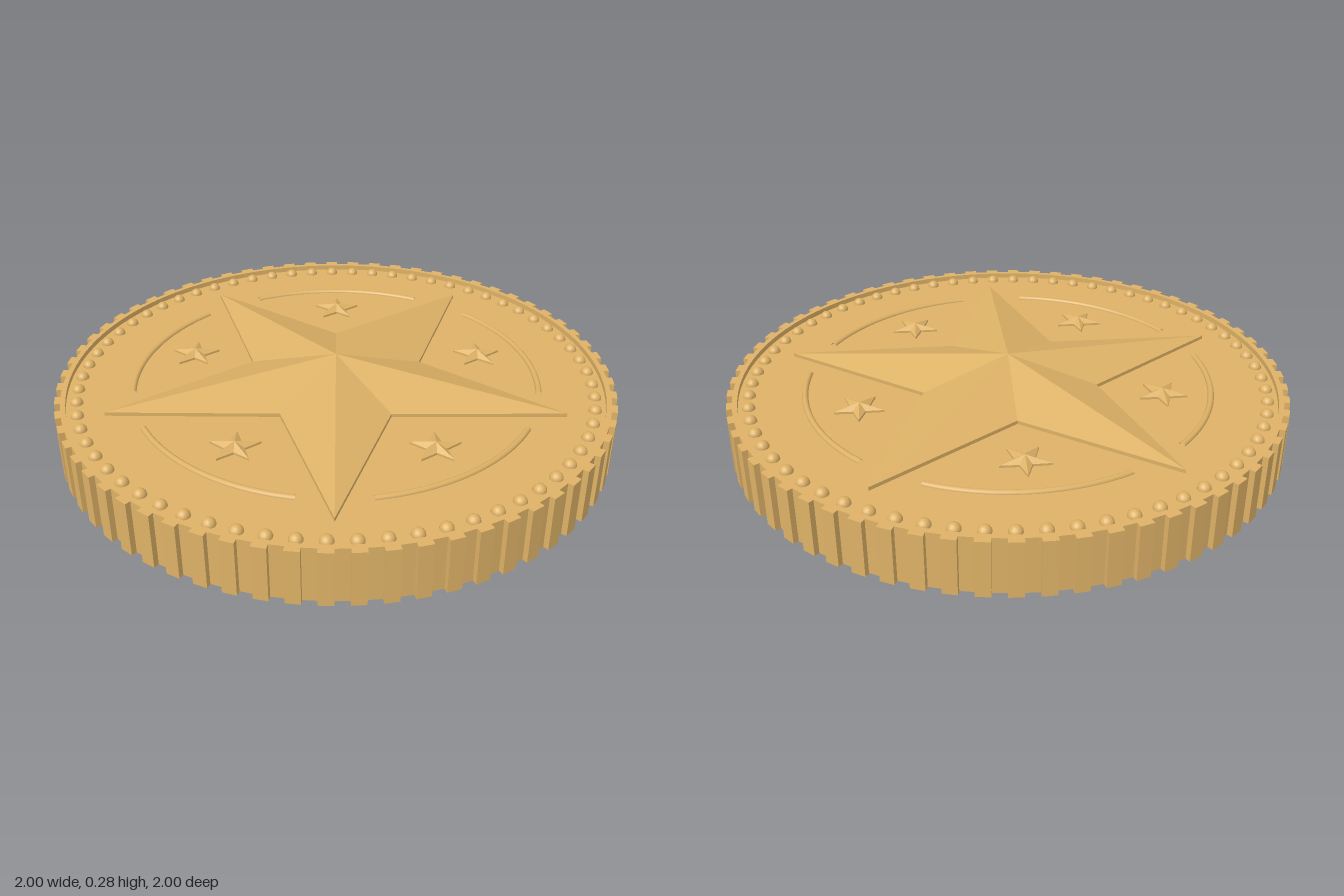
import * as THREE from 'three';

const GOLD = 0xddb166;
const BOTTOM = 0.005, TOP = 0.202;            // rim faces
const FIELD_TOP = 0.183, FIELD_BOTTOM = 0.024; // recessed faces
const COUNT = 65;                              // beads and reeds

const smooth = new THREE.MeshStandardMaterial({ color: GOLD, side: THREE.DoubleSide });
const faceted = new THREE.MeshStandardMaterial({ color: GOLD, flatShading: true });

function add(parent, name, geometry, material = smooth) {
  const mesh = new THREE.Mesh(geometry, material);
  mesh.name = name;
  parent.add(mesh);
  return mesh;
}

// Faceted star on a low wall, first tip towards -z
function starGeometry(outer, inner, wall, peak) {
  const corner = (i, y) => {
    const a = (i * Math.PI) / 5, r = i % 2 ? inner : outer;
    return [r * Math.sin(a), y, -r * Math.cos(a)];
  };
  const v = [];
  for (let i = 0; i < 10; i++) {
    const p0 = corner(i, wall), p1 = corner(i + 1, wall);
    const b0 = corner(i, 0), b1 = corner(i + 1, 0);
    v.push(0, peak, 0, ...p1, ...p0);
    v.push(...p0, ...p1, ...b0, ...p1, ...b1, ...b0);
  }
  const g = new THREE.BufferGeometry();
  g.setAttribute('position', new THREE.Float32BufferAttribute(v, 3));
  g.computeVertexNormals();
  return g;
}

// Toothed outline with a round opening, raised into the rim
function reededRimGeometry() {
  const shape = new THREE.Shape();
  const step = (Math.PI * 2) / COUNT;
  for (let i = 0; i < COUNT; i++) {
    [[-0.25, 0.98], [-0.25, 1], [0.25, 1], [0.25, 0.98]].forEach(([t, r], j) => {
      const a = (i + t) * step;
      const x = r * Math.cos(a), y = r * Math.sin(a);
      if (i + j === 0) shape.moveTo(x, y);
      else shape.lineTo(x, y);
    });
  }
  shape.closePath();
  const hole = new THREE.Path();
  hole.absarc(0, 0, 0.962, 0, Math.PI * 2, true);
  shape.holes.push(hole);
  const g = new THREE.ExtrudeGeometry(shape, {
    depth: TOP - BOTTOM, bevelEnabled: false, curveSegments: 64,
  });
  return g.rotateX(-Math.PI / 2).translate(0, BOTTOM, 0);
}

export function createModel() {
  const coin = new THREE.Group();
  coin.name = 'coin';

  // Body and rim
  add(coin, 'body', new THREE.CylinderGeometry(0.97, 0.97, FIELD_TOP - FIELD_BOTTOM, 128))
    .position.y = (FIELD_TOP + FIELD_BOTTOM) / 2;
  add(coin, 'reededRim', reededRimGeometry());

  // Bead circles on both faces
  const beadGeometry = new THREE.SphereGeometry(0.023, 14, 10);
  for (const [name, y] of [['topBeads', FIELD_TOP], ['bottomBeads', FIELD_BOTTOM]]) {
    const beads = new THREE.Group();
    beads.name = name;
    for (let i = 0; i < COUNT; i++) {
      const a = (i * Math.PI * 2) / COUNT;
      add(beads, 'bead', beadGeometry)
        .position.set(0.925 * Math.cos(a), y, 0.925 * Math.sin(a));
    }
    coin.add(beads);
  }

  // Large central star
  add(coin, 'centralStar', starGeometry(0.835, 0.325, 0.013, 0.102), faceted)
    .position.y = FIELD_TOP;

  // Small stars and arcs between the large star's points
  const small = starGeometry(0.09, 0.036, 0.008, 0.028);
  const half = 0.463;
  const arc = new THREE.TorusGeometry(0.73, 0.011, 10, 40, half * 2)
    .rotateZ(-half).rotateX(Math.PI / 2);
  for (let i = 0; i < 5; i++) {
    const a = Math.PI / 2 + (i * Math.PI * 2) / 5;
    const star = add(coin, 'smallStar', small, faceted);
    star.position.set(0.56 * Math.cos(a), FIELD_TOP, 0.56 * Math.sin(a));
    star.rotation.y = -a - Math.PI / 2;
    const line = add(coin, 'arc', arc);
    line.position.y = FIELD_TOP;
    line.rotation.y = -a;
  }

  // Raised ring on the underside
  add(coin, 'bottomRing', new THREE.TorusGeometry(0.72, 0.014, 10, 128).rotateX(Math.PI / 2))
    .position.y = FIELD_BOTTOM;

  return coin;
}
